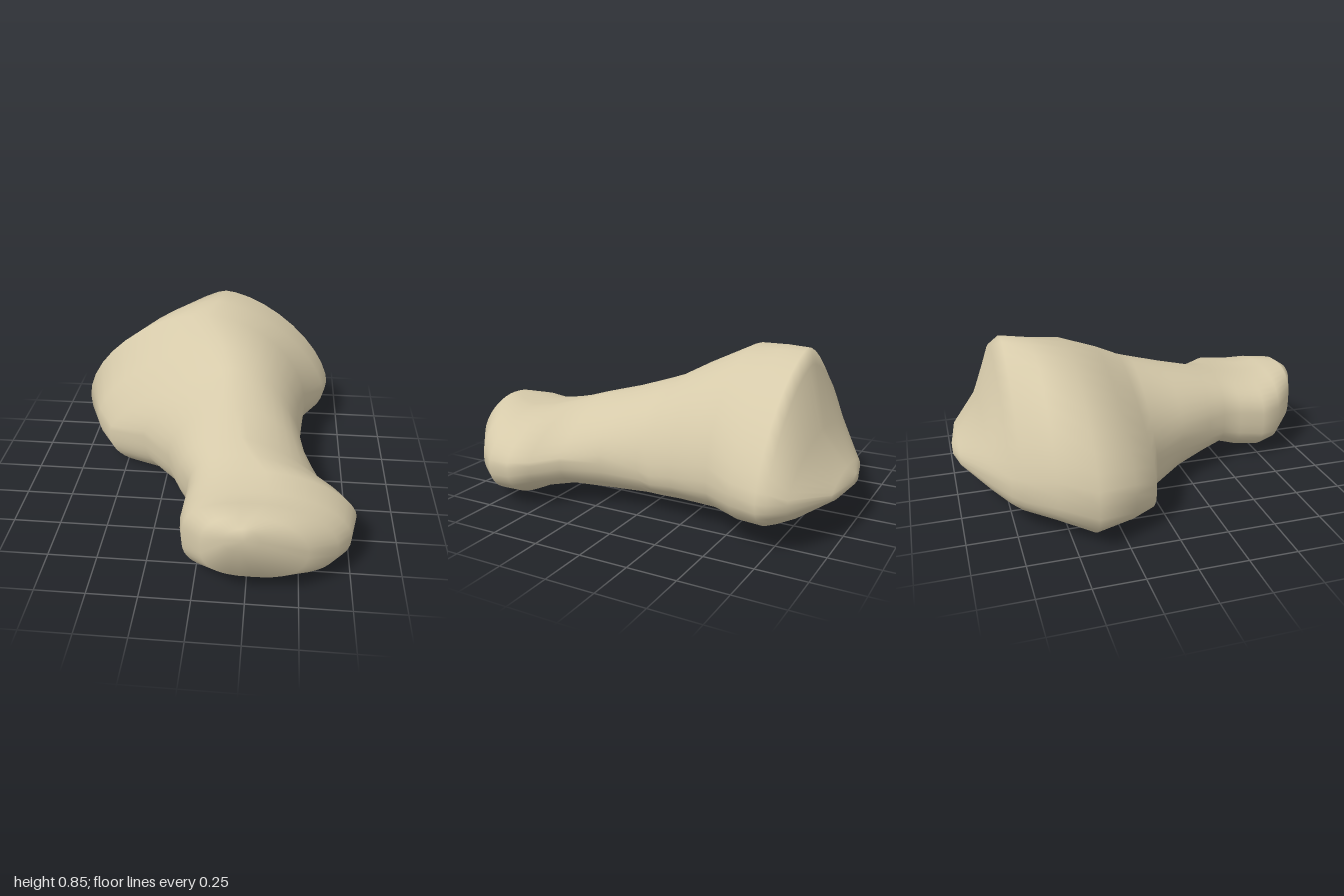
import * as THREE from 'three';

// Cross-sections from the narrow front head to the flared back end:
// z, left x, right x, widest height, top y, top x, bottom y, upper-left roundness
const SECTIONS = [
  [1.00, 0.15, 0.31, 0.38, 0.45, 0.24, 0.32, 2],
  [0.95, 0.04, 0.53, 0.30, 0.48, 0.27, 0.13, 2.5],
  [0.84, -0.06, 0.67, 0.24, 0.47, 0.32, 0.05, 2.9],
  [0.74, -0.08, 0.74, 0.22, 0.455, 0.34, 0.02, 2.9],
  [0.60, -0.07, 0.77, 0.24, 0.475, 0.32, 0.035, 2.9],
  [0.50, -0.07, 0.72, 0.25, 0.495, 0.25, 0.075, 2.6],
  [0.39, -0.13, 0.61, 0.26, 0.525, 0.19, 0.07, 2.3],
  [0.20, -0.21, 0.53, 0.26, 0.575, 0.14, 0.035, 1.9],
  [0.00, -0.38, 0.50, 0.25, 0.64, 0.11, 0.02, 1.5],
  [-0.07, -0.59, 0.50, 0.23, 0.665, 0.10, 0.015, 1.4],
  [-0.20, -0.68, 0.51, 0.25, 0.735, 0.05, 0.01, 1.6],
  [-0.40, -0.77, 0.53, 0.27, 0.83, -0.06, 0.005, 1.75],
  [-0.57, -0.64, 0.64, 0.28, 0.845, -0.01, 0.03, 1.75],
  [-0.71, -0.53, 0.67, 0.27, 0.855, 0.03, 0.055, 1.5],
  [-0.76, -0.48, 0.66, 0.27, 0.79, 0.10, 0.08, 1.5],
  [-0.84, -0.36, 0.615, 0.27, 0.49, 0.13, 0.125, 1.8],
  [-0.97, -0.10, 0.38, 0.25, 0.32, 0.12, 0.20, 2],
  [-1.00, 0.04, 0.14, 0.24, 0.27, 0.09, 0.22, 2],
];
const SIDES = 40;

const bump = (z, centre, width) => Math.exp(-(((z - centre) / width) ** 2));

// Point on one cross-section, built from four rounded quadrants
function sectionPoint([z, left, right, mid, top, topX, bottom, round], angle) {
  const c = Math.cos(angle), s = Math.sin(angle);
  const upper = s >= 0;
  // upper right is hollowed at the neck behind the head
  const upperRight = z < -0.5 ? 1.55 : 1.85 - 0.5 * bump(z, 0.42, 0.15);
  const n = upper ? (c < 0 ? round : upperRight) : (c < 0 ? 2.9 : 2.5);
  const u = Math.pow(Math.abs(c), 2 / n), v = Math.pow(Math.abs(s), 2 / n);
  // the centre slides to the crest above, and to the keel under the shaft below
  const keel = (left + right) / 2 - 0.17 * bump(z, -0.1, 0.4);
  const cx = upper ? topX : keel;
  return [
    cx + u * ((c < 0 ? left : right) - cx),
    mid + v * ((upper ? top : bottom) - mid),
    z,
  ];
}

// Closed skin through the cross-sections
function loft(sections) {
  const positions = [], index = [];
  for (const section of sections) {
    for (let j = 0; j < SIDES; j++) positions.push(...sectionPoint(section, (j / SIDES) * Math.PI * 2));
  }
  for (let i = 0; i < sections.length - 1; i++) {
    for (let j = 0; j < SIDES; j++) {
      const k = (j + 1) % SIDES;
      const a = i * SIDES + j, a1 = i * SIDES + k;
      const b = a + SIDES, b1 = a1 + SIDES;
      index.push(a, b, a1, a1, b, b1);
    }
  }
  // end caps
  const first = sections[0], last = sections[sections.length - 1];
  const front = positions.length / 3, back = front + 1;
  for (const s of [first, last]) positions.push(s[5], s[3], s[0]);
  const base = (sections.length - 1) * SIDES;
  for (let j = 0; j < SIDES; j++) {
    const k = (j + 1) % SIDES;
    index.push(front, j, k, back, base + k, base + j);
  }
  const geometry = new THREE.BufferGeometry();
  geometry.setAttribute('position', new THREE.Float32BufferAttribute(positions, 3));
  geometry.setIndex(index);
  geometry.computeVertexNormals();
  return geometry;
}

export function createModel() {
  const group = new THREE.Group();
  group.name = 'bone';
  const boneMaterial = new THREE.MeshStandardMaterial({ color: 0xd6caaa });
  boneMaterial.name = 'bone beige';
  const body = new THREE.Mesh(loft(SECTIONS), boneMaterial);
  body.name = 'boneBody';
  group.add(body);
  return group;
}
